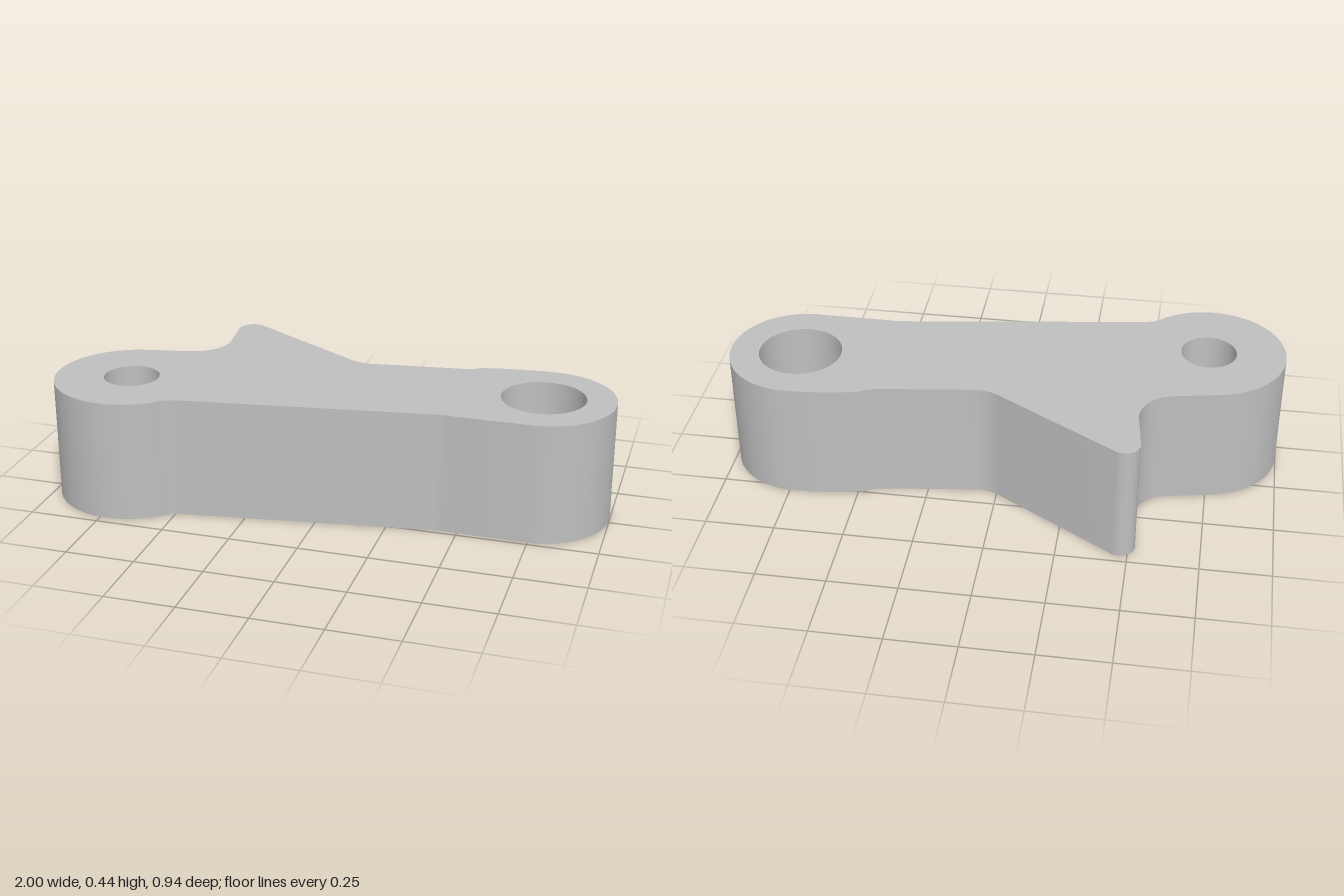
import * as THREE from 'three';
import { toCreasedNormals } from 'three/addons/utils/BufferGeometryUtils.js';

const HEIGHT = 0.44;
const rad = THREE.MathUtils.degToRad;

export function createModel() {
  const group = new THREE.Group();
  group.name = 'leverArm';
  const metal = new THREE.MeshStandardMaterial({ color: 0xbfbfbf });
  metal.name = 'grey metal';

  // Outline seen from above (shape y = -z), counter-clockwise
  const s = new THREE.Shape();
  // small-hole boss
  s.absarc(-0.725, -0.192, 0.275, rad(99.6), rad(313), false);
  s.quadraticCurveTo(-0.515, -0.369, -0.47, -0.362);
  // front edge and large-hole boss
  s.lineTo(0.42, -0.234);
  s.quadraticCurveTo(0.44, -0.231, 0.47, -0.234);
  s.lineTo(0.742, -0.235);
  s.absarc(0.742, 0.021, 0.257, rad(-90), rad(90), false);
  s.quadraticCurveTo(0.6, 0.277, 0.475, 0.245);
  s.quadraticCurveTo(0.45, 0.226, 0.42, 0.22);
  // back edge and pointed finger with rounded tip
  s.lineTo(0.09, 0.176);
  s.quadraticCurveTo(0.035, 0.168, -0.01, 0.196);
  s.absarc(-0.47, 0.417, 0.053, rad(58), rad(187), false);
  // concave hollow between finger and boss
  s.absarc(-0.64, 0.245, 0.137, rad(7), rad(-80), true);
  s.closePath();

  // Pivot holes: x, y, radius
  for (const [x, y, r] of [[-0.722, -0.189, 0.1], [0.743, 0.021, 0.15]]) {
    s.holes.push(new THREE.Path().absarc(x, y, r, 0, Math.PI * 2, true));
  }

  const geometry = new THREE.ExtrudeGeometry(s, { depth: HEIGHT, bevelEnabled: false, curveSegments: 40 });
  geometry.rotateX(-Math.PI / 2);
  const arm = new THREE.Mesh(toCreasedNormals(geometry, rad(25)), metal);
  arm.name = 'armPlate';
  group.add(arm);
  return group;
}
